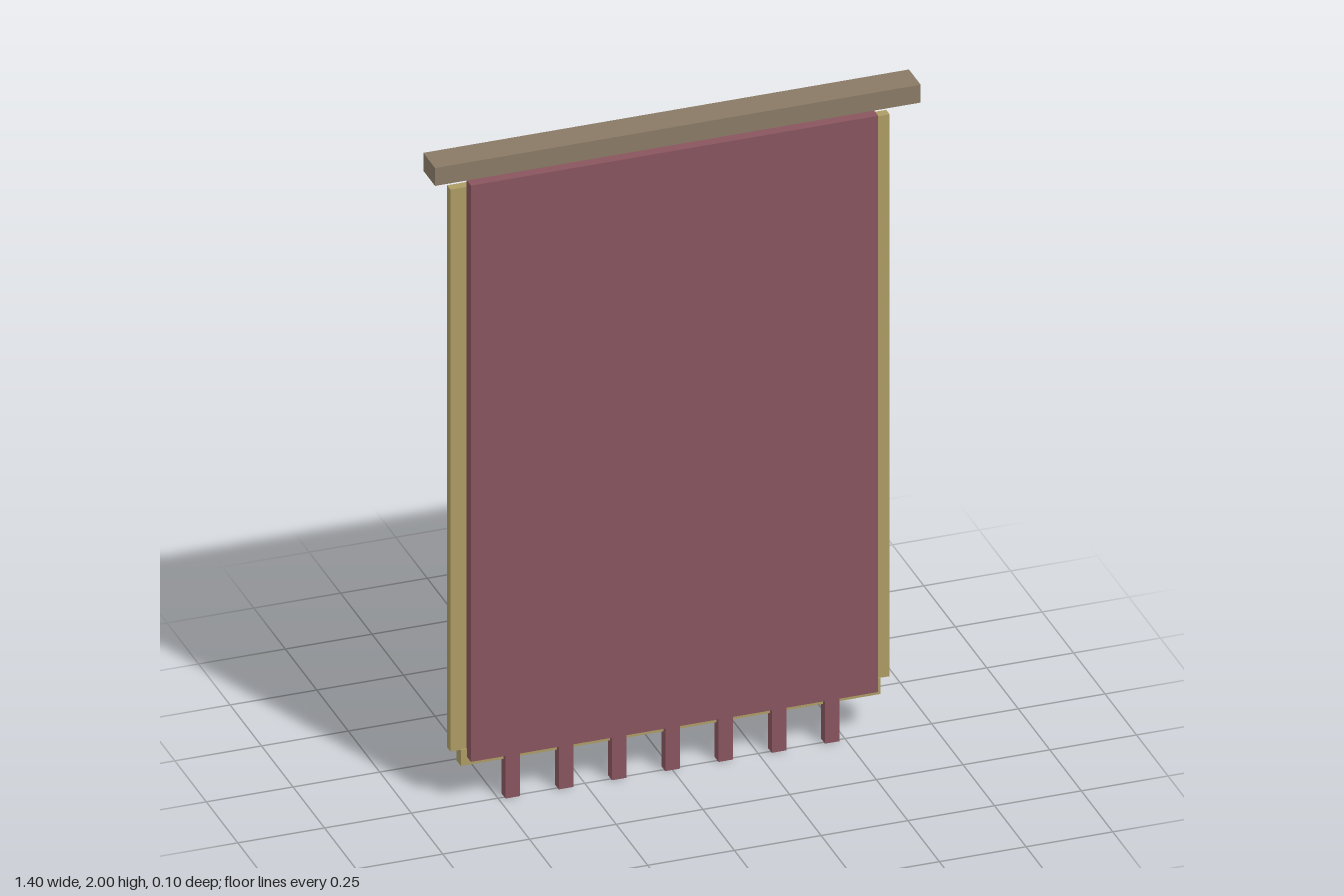
import * as THREE from 'three';

const mat = (name, color) => {
  const m = new THREE.MeshStandardMaterial({ color });
  m.name = name;
  return m;
};

export function createModel() {
  const model = new THREE.Group();
  model.name = 'hangingBanner';
  const cloth = mat('dusty red cloth', 0x88545e);
  const gold = mat('dull gold trim', 0xac9b64);
  const wood = mat('grey brown wood', 0x897a65);

  // Box given by its lower and upper limits on each axis
  const slab = (name, material, [x0, x1], [y0, y1], [z0, z1], parent = model) => {
    const mesh = new THREE.Mesh(new THREE.BoxGeometry(x1 - x0, y1 - y0, z1 - z0), material);
    mesh.position.set((x0 + x1) / 2, (y0 + y1) / 2, (z0 + z1) / 2);
    mesh.name = name;
    parent.add(mesh);
  };

  // Hanging bar and cloth panel
  slab('hangingBar', wood, [-0.7, 0.7], [1.945, 2], [-0.042, 0.051]);
  slab('clothPanel', cloth, [-0.587, 0.587], [0.14, 1.912], [-0.011, 0.025]);

  // Gold borders down both sides and along the bottom
  slab('leftBorder', gold, [0.578, 0.633], [0.162, 1.89], [-0.038, -0.011]);
  slab('rightBorder', gold, [-0.633, -0.578], [0.162, 1.89], [-0.038, -0.011]);
  slab('bottomBorder', gold, [-0.605, 0.605], [0.115, 0.164], [-0.039, -0.006]);

  // Cross emblem on the back
  const cross = new THREE.Group();
  cross.name = 'crossEmblem';
  model.add(cross);
  slab('crossUpright', gold, [-0.089, 0.089], [0.7, 1.368], [-0.036, -0.011], cross);
  slab('crossArm', gold, [-0.31, 0.31], [0.972, 1.097], [-0.051, -0.03], cross);

  // Row of tassels under the lower edge
  const tassels = new THREE.Group();
  tassels.name = 'tassels';
  model.add(tassels);
  for (let i = -3; i <= 3; i++) {
    const x = i * 0.1535;
    slab('tassel', cloth, [x - 0.021, x + 0.021], [0, 0.145], [-0.023, 0.009], tassels);
  }
  return model;
}
